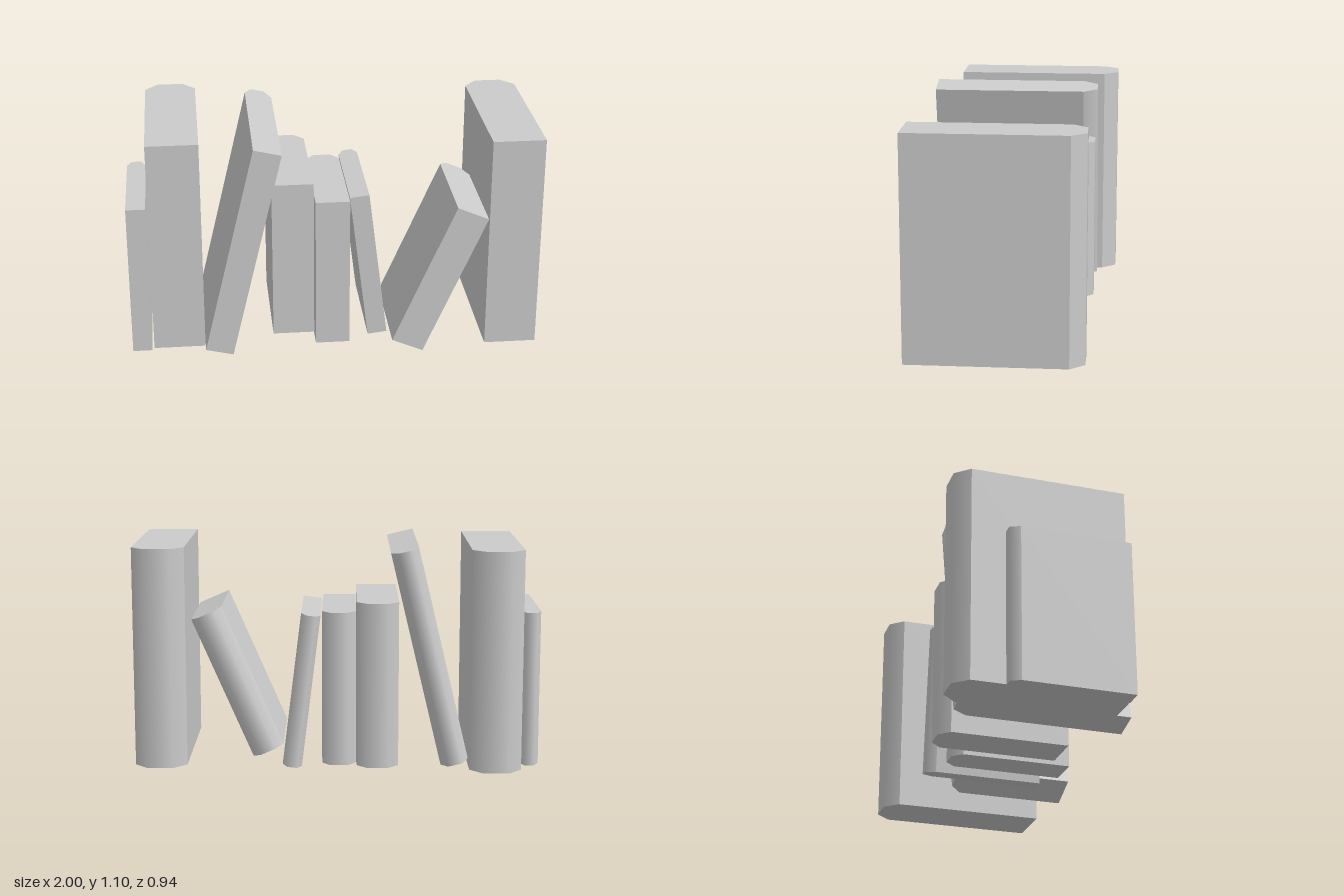
import * as THREE from 'three';

const material = new THREE.MeshStandardMaterial({ color: 0xcccccc });

// Upright block with a bevelled spine at the back; origin at the middle of its foot.
function bookGeometry(width, height, back, front, bevel) {
  const w = width / 2, q = width / 4;
  const outline = new THREE.Shape([
    [-w, -front], [w, -front], [w, -back - bevel],
    [q, -back], [-q, -back], [-w, -back - bevel],
  ].map(([x, y]) => new THREE.Vector2(x, y)));
  const geo = new THREE.ExtrudeGeometry(outline, { depth: height, bevelEnabled: false });
  geo.rotateX(-Math.PI / 2);

  // Soften the shading across the two inner edges of the spine
  const pos = geo.attributes.position, nor = geo.attributes.normal;
  const slope = new THREE.Vector3(bevel, 0, -(w - q)).normalize();
  const soft = slope.clone().add(new THREE.Vector3(0, 0, -1)).normalize();
  for (let i = 0; i < pos.count; i++) {
    if (nor.getZ(i) < -0.1 && Math.abs(pos.getX(i)) < q + 1e-4) {
      nor.setXYZ(i, Math.sign(pos.getX(i)) * soft.x, 0, soft.z);
    }
  }
  return geo;
}

// x and y of the foot, lean in degrees, then size and depth range
const books = [
  { name: 'thinEndBook', x: -0.952, y: 0, lean: 0, w: 0.095, h: 0.77, back: -0.25, front: 0.34, bevel: 0.05 },
  { name: 'tallLeftBook', x: -0.767, y: 0.02, lean: 0, w: 0.253, h: 1.08, back: -0.475, front: 0.355, bevel: 0.07 },
  { name: 'tallLeaningBook', x: -0.573, y: 0.036, lean: -13.4, w: 0.138, h: 1.08, back: -0.38, front: 0.455, bevel: 0.07 },
  { name: 'mediumBook', x: -0.193, y: 0.02, lean: 0, w: 0.206, h: 0.815, back: -0.375, front: 0.265, bevel: 0.053 },
  { name: 'shortBook', x: -0.004, y: 0, lean: 0, w: 0.168, h: 0.77, back: -0.25, front: 0.343, bevel: 0.05 },
  { name: 'thinLeaningBook', x: 0.228, y: 0.006, lean: 7.1, w: 0.096, h: 0.765, back: -0.315, front: 0.278, bevel: 0.05 },
  { name: 'shortLeaningBook', x: 0.355, y: 0.034, lean: -23.5, w: 0.166, h: 0.768, back: -0.12, front: 0.47, bevel: 0.05 },
  { name: 'tallRightBook', x: 0.872, y: 0.02, lean: 0, w: 0.255, h: 1.08, back: -0.38, front: 0.455, bevel: 0.07 },
];

export function createModel() {
  const group = new THREE.Group();
  group.name = 'rowOfBooks';
  for (const b of books) {
    const mesh = new THREE.Mesh(bookGeometry(b.w, b.h, b.back, b.front, b.bevel), material);
    mesh.name = b.name;
    mesh.position.set(b.x, b.y, 0);
    mesh.rotation.z = THREE.MathUtils.degToRad(b.lean);
    group.add(mesh);
  }
  return group;
}
